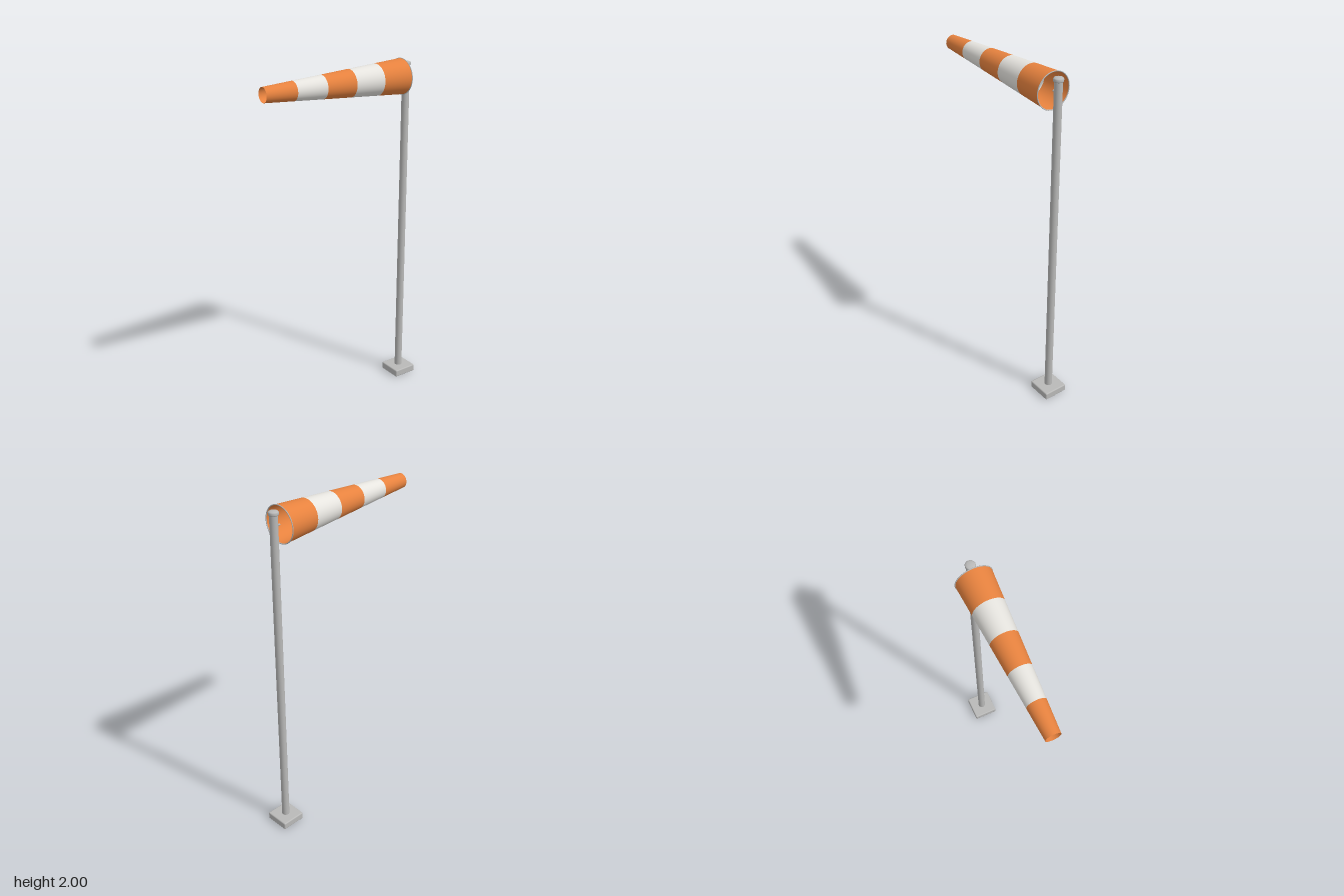
import * as THREE from 'three';
import { RoundedBoxGeometry } from 'three/addons/geometries/RoundedBoxGeometry.js';

const POLE_Z = -0.431;
const SOCK_Y = 1.897, SOCK_BACK = -0.395, SOCK_FRONT = 0.505;
const R_BACK = 0.1, R_FRONT = 0.041, BANDS = 5;

function material(name, color, side = THREE.FrontSide) {
  const m = new THREE.MeshStandardMaterial({ color, side });
  m.name = name;
  return m;
}

export function createModel() {
  const model = new THREE.Group();
  model.name = 'windsock';
  const metal = material('grey metal', 0xb9b9b8);
  const orange = material('orange fabric', 0xe8833f, THREE.DoubleSide);
  const white = material('white fabric', 0xe6e4df, THREE.DoubleSide);

  function add(name, geometry, mat, x, y, z, parent = model) {
    const mesh = new THREE.Mesh(geometry, mat);
    mesh.name = name;
    mesh.position.set(x, y, z);
    parent.add(mesh);
    return mesh;
  }

  // Square foot with softened edges
  add('base', new RoundedBoxGeometry(0.147, 0.044, 0.147, 2, 0.007), metal, 0, 0.022, POLE_Z);

  // Straight mast
  add('pole', new THREE.CylinderGeometry(0.022, 0.022, 1.93, 24), metal, 0, 1.003, POLE_Z);

  // Low domed cap
  const capProfile = [[0, 0], [0.026, 0], [0.027, 0.004], [0.027, 0.014], [0.024, 0.019], [0.014, 0.022], [0, 0.023]]
    .map(([r, y]) => new THREE.Vector2(r, y));
  add('cap', new THREE.LatheGeometry(capProfile, 24), metal, 0, 1.957, POLE_Z);

  // Short arm from the mast to the mouth of the sock
  const arm = add('arm', new THREE.CylinderGeometry(0.005, 0.005, 0.04, 12), metal, 0, SOCK_Y, -0.413);
  arm.rotation.x = Math.PI / 2;

  // Hoop holding the mouth open
  add('hoop', new THREE.TorusGeometry(R_BACK, 0.0028, 8, 48), metal, 0, SOCK_Y, SOCK_BACK);

  // Open tapering sock in alternating bands
  const sock = new THREE.Group();
  sock.name = 'sock';
  model.add(sock);
  const length = (SOCK_FRONT - SOCK_BACK) / BANDS;
  const radius = (i) => THREE.MathUtils.lerp(R_BACK, R_FRONT, i / BANDS);
  for (let i = 0; i < BANDS; i++) {
    const band = add('sockBand' + (i + 1),
      new THREE.CylinderGeometry(radius(i + 1), radius(i), length, 48, 1, true),
      i % 2 ? white : orange, 0, SOCK_Y, SOCK_BACK + (i + 0.5) * length, sock);
    band.rotation.x = Math.PI / 2;
  }

  return model;
}
